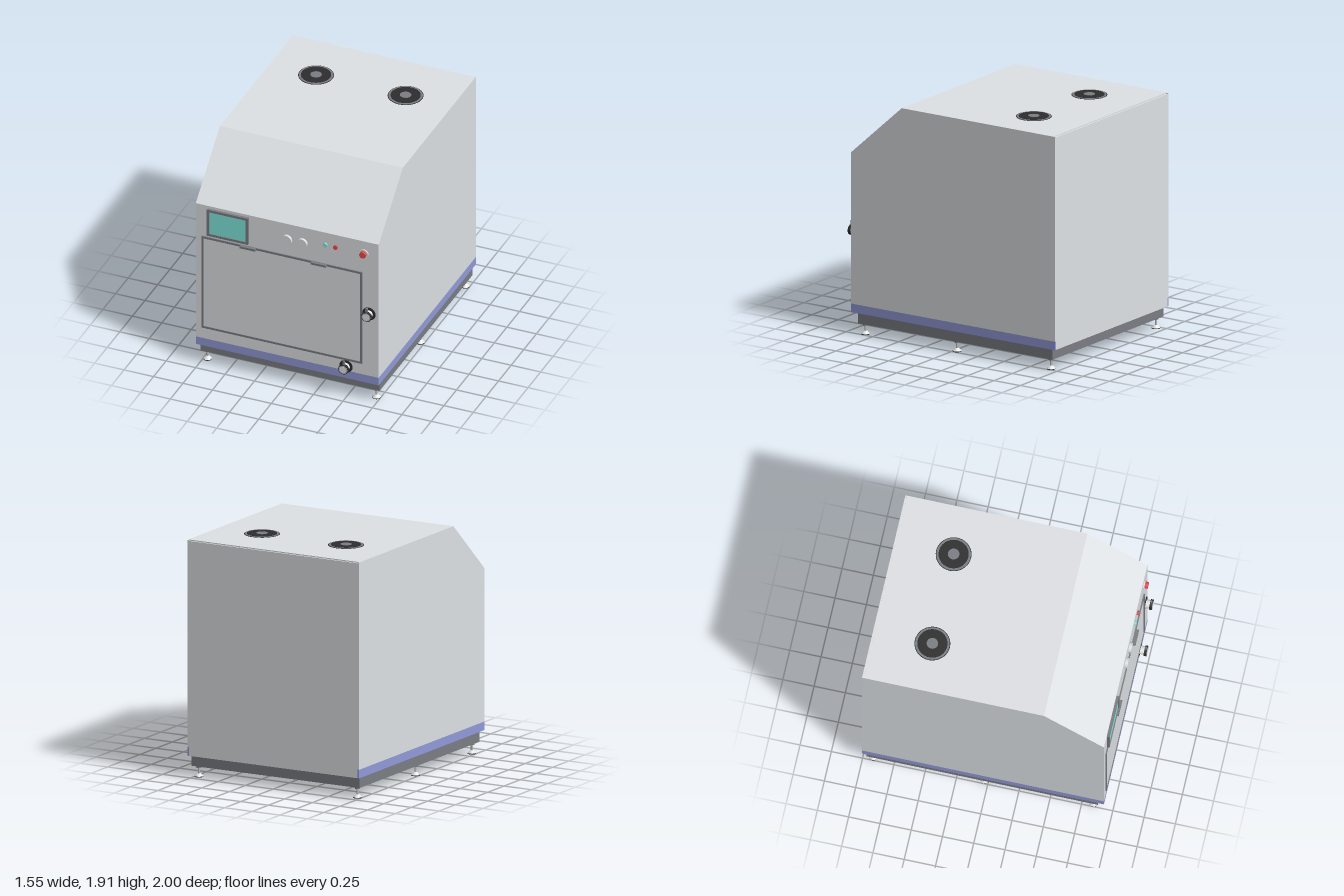
import * as THREE from 'three';

const mat = (name, color) => Object.assign(new THREE.MeshStandardMaterial({ color }), { name });

export function createModel() {
  const M = {
    body: mat('panelGrey', 0xdfe2e5),
    frame: mat('frameGrey', 0x7b7e84),
    blue: mat('baseBlue', 0x939bda),
    teal: mat('teal', 0x82e8e0),
    red: mat('red', 0xf04f54),
    dark: mat('charcoal', 0x2d2d2e),
    metal: mat('lightMetal', 0xf2f3f4),
    pipe: mat('pipeGrey', 0xb4b7ba),
  };
  const model = new THREE.Group();
  model.name = 'industrialCabinet';

  const add = (name, geo, material, parent = model) => {
    const mesh = new THREE.Mesh(geo, material);
    mesh.name = name;
    parent.add(mesh);
    return mesh;
  };
  // Box given by its limits on each axis
  const box = (name, x0, x1, y0, y1, z0, z1, m, parent) => {
    const mesh = add(name, new THREE.BoxGeometry(x1 - x0, y1 - y0, z1 - z0), m, parent);
    mesh.position.set((x0 + x1) / 2, (y0 + y1) / 2, (z0 + z1) / 2);
    return mesh;
  };
  // Cylinder along one axis, between a and b; u and v are the other two coordinates in order
  const cyl = (name, axis, r, a, b, u, v, m, parent, rEnd = r) => {
    const geo = new THREE.CylinderGeometry(rEnd, r, b - a, 40);
    if (axis === 'z') geo.rotateX(Math.PI / 2);
    if (axis === 'x') geo.rotateZ(-Math.PI / 2);
    const mesh = add(name, geo, m, parent);
    const c = (a + b) / 2;
    if (axis === 'x') mesh.position.set(c, u, v);
    else if (axis === 'y') mesh.position.set(u, c, v);
    else mesh.position.set(u, v, c);
    return mesh;
  };
  // Profile in (z, y), extruded across x and centred on cx
  const sideExtrude = (name, pts, width, cx, m) => {
    const shape = new THREE.Shape(pts.map(([z, y]) => new THREE.Vector2(z, y)));
    const geo = new THREE.ExtrudeGeometry(shape, { depth: width, bevelEnabled: false });
    geo.rotateY(-Math.PI / 2).translate(cx + width / 2, 0, 0);
    return add(name, geo, m);
  };
  // Rectangular rim in the front plane
  const rim = (name, x0, x1, y0, y1, t, z0, z1, m) => {
    const rect = (T, a, b, c, d) => {
      const s = new T();
      s.moveTo(a, c); s.lineTo(b, c); s.lineTo(b, d); s.lineTo(a, d); s.closePath();
      return s;
    };
    const shape = rect(THREE.Shape, x0, x1, y0, y1);
    shape.holes.push(rect(THREE.Path, x0 + t, x1 - t, y0 + t, y1 - t));
    const geo = new THREE.ExtrudeGeometry(shape, { depth: z1 - z0, bevelEnabled: false });
    add(name, geo.translate(0, 0, z0), m);
  };

  // Sheet-metal shell, open below: side panels, then front, slope and roof
  const W = 0.776, T = 0.012, Y0 = 0.245, YB = 0.176;
  const sidePts = [[-1, Y0], [0.935, Y0], [0.935, 1.472], [0.455, 1.905], [-1, 1.905]];
  for (const s of [-1, 1]) sideExtrude('sidePanel', sidePts, T, s * (W - T / 2), M.body);
  sideExtrude('frontAndRoof', [
    [0.935, Y0], [0.935, 1.472], [0.455, 1.905], [-0.985, 1.905],
    [-0.985, 1.893], [0.45, 1.893], [0.923, 1.467], [0.923, Y0],
  ], 2 * (W - T), 0, M.body);
  box('backPanel', -0.764, 0.764, YB, 1.897, -1, -0.986, M.body);
  box('backSeal', -0.76, 0.76, YB, 0.184, -0.986, -0.978, M.teal);

  // Blue base band on the front and both sides
  for (const s of [-1, 1]) {
    const x = s * (W - T / 2);
    box('sideBand', x - T / 2, x + T / 2, YB, Y0, -1, 0.935, M.blue);
  }
  box('frontBand', -W + T, W - T, YB, Y0, 0.923, 0.935, M.blue);

  // Base frame with a middle cross beam
  for (const s of [-1, 1]) {
    const x = s * 0.715;
    box('frameSideBeam', x - 0.045, x + 0.045, 0.09, 0.18, -0.965, 0.882, M.frame);
  }
  for (const z of [-0.92, -0.05, 0.837])
    box('frameCrossBeam', -0.67, 0.67, 0.09, 0.18, z - 0.045, z + 0.045, M.frame);

  // Levelling feet
  for (const x of [-0.717, 0.717]) for (const z of [-0.923, -0.03, 0.84]) {
    const foot = new THREE.Group();
    foot.name = 'levellingFoot';
    foot.position.set(x, 0, z);
    model.add(foot);
    cyl('footPad', 'y', 0.034, 0, 0.006, 0, 0, M.dark, foot);
    cyl('footCone', 'y', 0.034, 0.006, 0.028, 0, 0, M.metal, foot, 0.014);
    cyl('footRod', 'y', 0.009, 0.028, 0.1, 0, 0, M.pipe, foot);
    cyl('footNut', 'y', 0.02, 0.072, 0.09, 0, 0, M.frame, foot);
  }

  // Roof vents
  for (const x of [-0.38, 0.38]) {
    cyl('ventEdge', 'y', 0.14, 1.9, 1.907, x, -0.525, M.dark);
    cyl('ventFlange', 'y', 0.135, 1.9, 1.909, x, -0.525, M.frame);
    cyl('ventGrille', 'y', 0.118, 1.905, 1.911, x, -0.525, M.dark);
    cyl('ventHub', 'y', 0.045, 1.907, 1.913, x, -0.525, M.frame);
  }

  // Door with its rim and hinges
  box('doorPanel', -0.71, 0.625, 0.36, 1.17, 0.934, 0.94, M.body);
  rim('doorRim', -0.725, 0.64, 0.345, 1.187, 0.017, 0.934, 0.945, M.frame);
  for (const x of [-0.325, 0.275])
    box('doorHinge', x - 0.065, x + 0.065, 1.17, 1.188, 0.935, 0.967, M.frame);

  // Control panel: screen, dials, lamps and stop button
  rim('screenRim', -0.675, -0.325, 1.21, 1.45, 0.02, 0.934, 0.957, M.frame);
  box('screen', -0.656, -0.344, 1.229, 1.431, 0.934, 0.95, M.teal);
  for (const x of [0, 0.13]) cyl('dial', 'z', 0.043, 0.934, 0.957, x, 1.33, M.body);
  cyl('readyLamp', 'z', 0.018, 0.934, 0.95, 0.325, 1.362, M.teal);
  cyl('faultLamp', 'z', 0.018, 0.934, 0.95, 0.412, 1.362, M.red);
  cyl('stopCollar', 'z', 0.037, 0.934, 0.945, 0.652, 1.362, M.metal);
  cyl('stopButton', 'z', 0.027, 0.945, 0.97, 0.652, 1.362, M.red);

  // Door latch and drain valve
  for (const [x, y] of [[0.695, 0.818], [0.5, 0.287]]) {
    const valve = new THREE.Group();
    valve.name = 'frontValve';
    valve.position.set(x, y, 0);
    model.add(valve);
    cyl('valveFlange', 'z', 0.055, 0.934, 0.942, 0, 0, M.dark, valve);
    cyl('valveNeck', 'z', 0.034, 0.942, 0.975, 0, 0, M.metal, valve);
    cyl('valveCollar', 'z', 0.042, 0.975, 0.996, 0, 0, M.dark, valve);
    cyl('valveFace', 'z', 0.036, 0.99, 0.999, 0, 0, M.pipe, valve);
    cyl('valveCap', 'z', 0.028, 0.99, 1.0, 0, 0, M.metal, valve);
    box('valveLever', -0.008, 0.008, 0.03, 0.078, 0.98, 0.994, M.frame, valve);
  }

  // Inner chamber and its floor plate
  box('chamber', -0.68, 0.6, 0.45, 1.16, 0.05, 0.85, M.body);
  box('chamberFloor', -0.67, 0.5, 0.24, 0.3, 0.08, 0.48, M.frame);
  for (let i = 0; i < 7; i++) {
    const x = -0.5 + i * 0.13;
    box('floorRib', x - 0.015, x + 0.015, 0.26, 0.45, 0.57, 0.6, M.metal);
  }

  // Drain pipe with elbows
  cyl('drainPipe', 'x', 0.045, -0.63, 0.5, 0.265, 0.7, M.pipe);
  cyl('drainElbow', 'z', 0.035, 0.7, 0.934, 0.5, 0.275, M.metal);
  cyl('drainRiser', 'y', 0.045, 0.2, 0.45, -0.63, 0.7, M.metal);
  box('drainActuator', 0.34, 0.5, 0.26, 0.4, 0.54, 0.65, M.red);

  // Rear machinery: tank, pump housing, motor, control box
  const tank = add('tank', new THREE.CapsuleGeometry(0.16, 0.2, 8, 32), M.teal);
  tank.position.set(0.2, 0.55, -0.45);
  cyl('tankBand', 'y', 0.166, 0.5, 0.53, 0.2, -0.45, M.teal);
  box('pumpHousing', -0.45, 0.1, 0.25, 0.42, -0.5, -0.24, M.frame);
  cyl('pumpMotor', 'x', 0.06, -0.52, -0.45, 0.34, -0.4, M.dark);
  box('controlBox', -0.6, -0.55, 0.27, 0.46, -0.66, -0.08, M.blue);
  box('controlTray', -0.75, -0.57, 0.2, 0.22, -0.58, -0.12, M.frame);
  cyl('riserPipe', 'y', 0.018, 0.15, 1.2, 0.4, -0.3, M.metal);

  return model;
}
